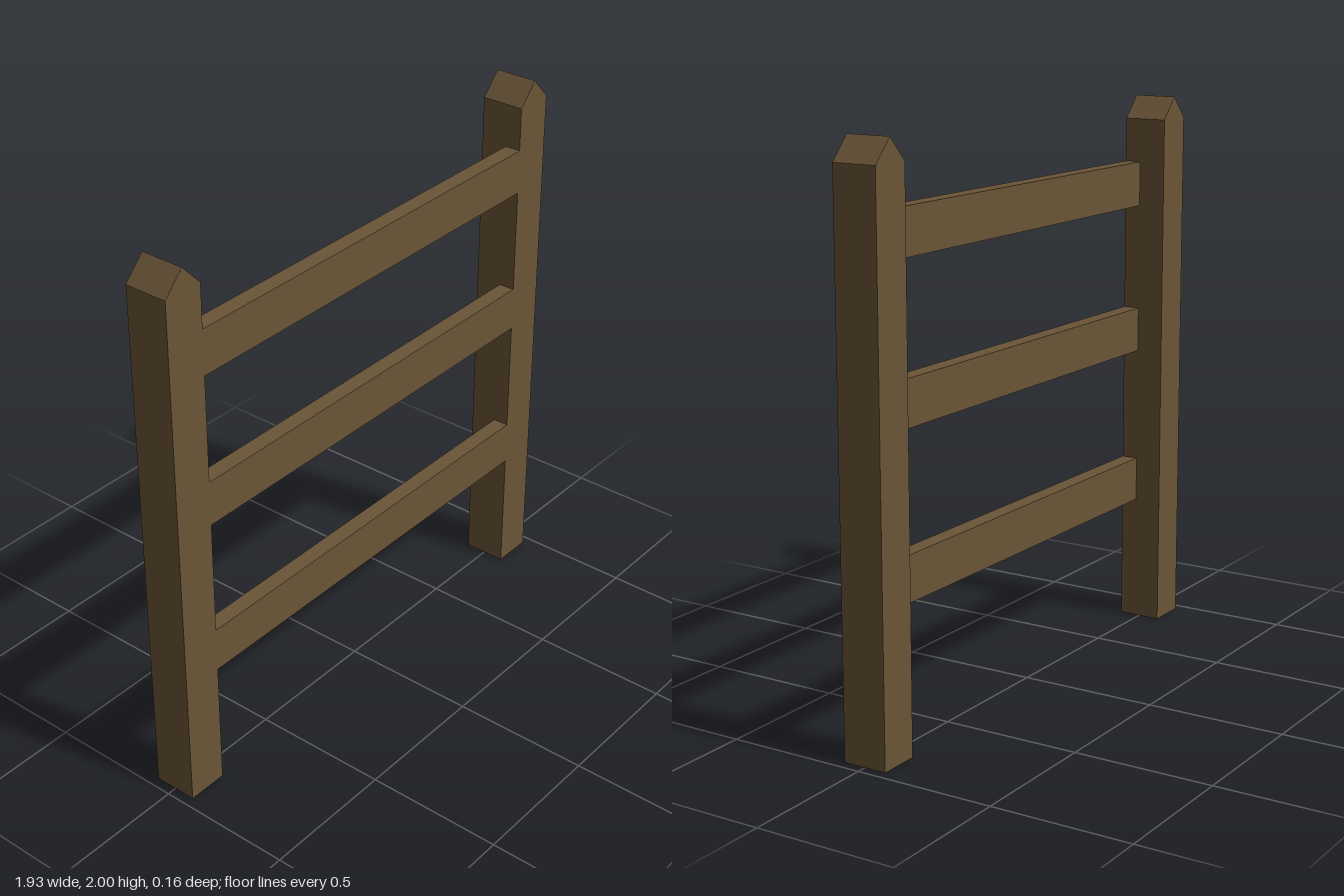
import * as THREE from 'three';

const DEPTH = 0.16;      // post thickness, centred on z = 0
const POST_X = 0.89;     // post centre line
const HALF = 0.075;      // half the post width
const SHOULDER = 1.92;   // where the pointed top begins

// Square post with a gabled top and an open underside
function postGeometry() {
  const shape = new THREE.Shape();
  shape.moveTo(-HALF, 0);
  shape.lineTo(HALF, 0);
  shape.lineTo(HALF, SHOULDER);
  shape.lineTo(0, 2);
  shape.lineTo(-HALF, SHOULDER);
  shape.closePath();
  const solid = new THREE.ExtrudeGeometry(shape, { depth: DEPTH, bevelEnabled: false });
  solid.translate(0, 0, -DEPTH / 2);

  // Keep every triangle except those lying on the ground
  const p = solid.attributes.position;
  const kept = [];
  for (let i = 0; i < p.count; i += 3) {
    if (Math.max(p.getY(i), p.getY(i + 1), p.getY(i + 2)) < 1e-6) continue;
    for (let k = i; k < i + 3; k++) kept.push(p.getX(k), p.getY(k), p.getZ(k));
  }
  const geometry = new THREE.BufferGeometry();
  geometry.setAttribute('position', new THREE.Float32BufferAttribute(kept, 3));
  geometry.computeVertexNormals();
  return geometry;
}

export function createModel() {
  const group = new THREE.Group();
  group.name = 'fence';
  const wood = new THREE.MeshStandardMaterial({ color: 0x6a5437, side: THREE.DoubleSide });
  wood.name = 'brown wood';

  // Two upright posts
  const post = postGeometry();
  for (const [name, side] of [['leftPost', 1], ['rightPost', -1]]) {
    const mesh = new THREE.Mesh(post, wood);
    mesh.name = name;
    mesh.position.x = side * POST_X;
    group.add(mesh);
  }

  // Three rails between the posts, flush with their front faces
  const railDepth = 0.06;
  const rail = new THREE.BoxGeometry(2 * (POST_X - HALF), 0.163, railDepth);
  for (const [name, y] of [['lowerRail', 0.547], ['middleRail', 1.13], ['upperRail', 1.68]]) {
    const mesh = new THREE.Mesh(rail, wood);
    mesh.name = name;
    mesh.position.set(0, y, DEPTH / 2 - railDepth / 2);
    group.add(mesh);
  }
  return group;
}
